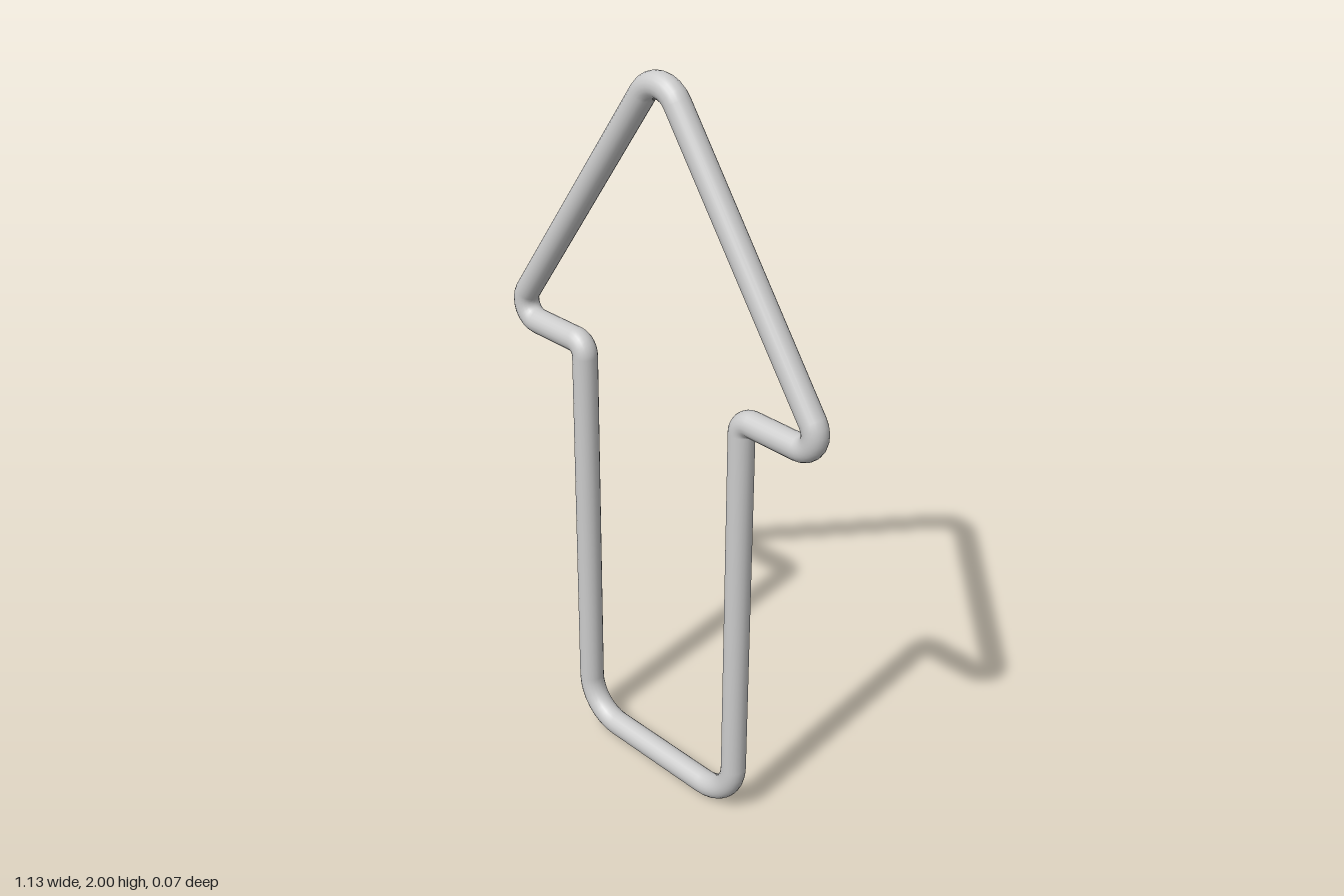
import * as THREE from 'three';

const TUBE_R = 0.034, SIDES = 20, BEND_STEPS = 8;

// Right half of the wire's centre line, bottom to top: x, y, bend radius
const half = [
  [0.291, 0.035, 0.115], // base corner
  [0.291, 1.206, 0.036], // shoulder
  [0.577, 1.206, 0.05],  // barb tip
];
const corners = [
  ...half,
  [0, 2.019, 0.072],     // apex
  ...half.map(([x, y, r]) => [-x, y, r]).reverse(),
];

// Rings along the closed wire: each bend is a circular arc between straight runs
function bendRings(corners) {
  const rings = [], count = corners.length;
  const at = (i) => new THREE.Vector2(...corners[(i + count) % count].slice(0, 2));
  for (let i = 0; i < count; i++) {
    const radius = corners[i][2], p = at(i);
    const d1 = p.clone().sub(at(i - 1)).normalize();
    const d2 = at(i + 1).sub(p).normalize();
    const turn = Math.atan2(d1.cross(d2), d1.dot(d2));
    const signedR = Math.sign(turn) * radius;
    const n1 = new THREE.Vector2(d1.y, -d1.x);
    const center = p.clone()
      .addScaledVector(d1, -radius * Math.tan(Math.abs(turn) / 2))
      .addScaledVector(n1, -signedR);
    for (let k = 0; k <= BEND_STEPS; k++) {
      const a = Math.atan2(n1.y, n1.x) + turn * k / BEND_STEPS;
      const n = new THREE.Vector2(Math.cos(a), Math.sin(a));
      rings.push({ n, p: center.clone().addScaledVector(n, signedR) });
    }
  }
  return rings;
}

// Sweep a round section through the rings and close the loop
function sweep(rings) {
  const position = [], normal = [], index = [];
  rings.forEach(({ p, n }, i) => {
    const next = (i + 1) % rings.length;
    for (let j = 0; j < SIDES; j++) {
      const f = j / SIDES * Math.PI * 2, c = Math.cos(f), s = Math.sin(f);
      normal.push(c * n.x, c * n.y, s);
      position.push(p.x + TUBE_R * c * n.x, p.y + TUBE_R * c * n.y, TUBE_R * s);
      const j2 = (j + 1) % SIDES;
      const a = i * SIDES + j, b = next * SIDES + j;
      const d = i * SIDES + j2, e = next * SIDES + j2;
      index.push(a, b, d, b, e, d);
    }
  });
  const g = new THREE.BufferGeometry();
  g.setAttribute('position', new THREE.Float32BufferAttribute(position, 3));
  g.setAttribute('normal', new THREE.Float32BufferAttribute(normal, 3));
  g.setIndex(index);
  return g;
}

export function createModel() {
  const group = new THREE.Group();
  group.name = 'arrow';
  const wire = new THREE.Mesh(
    sweep(bendRings(corners)),
    new THREE.MeshStandardMaterial({ color: 0xcccccc })
  );
  wire.name = 'arrowOutlineTube';
  group.add(wire);
  return group;
}
